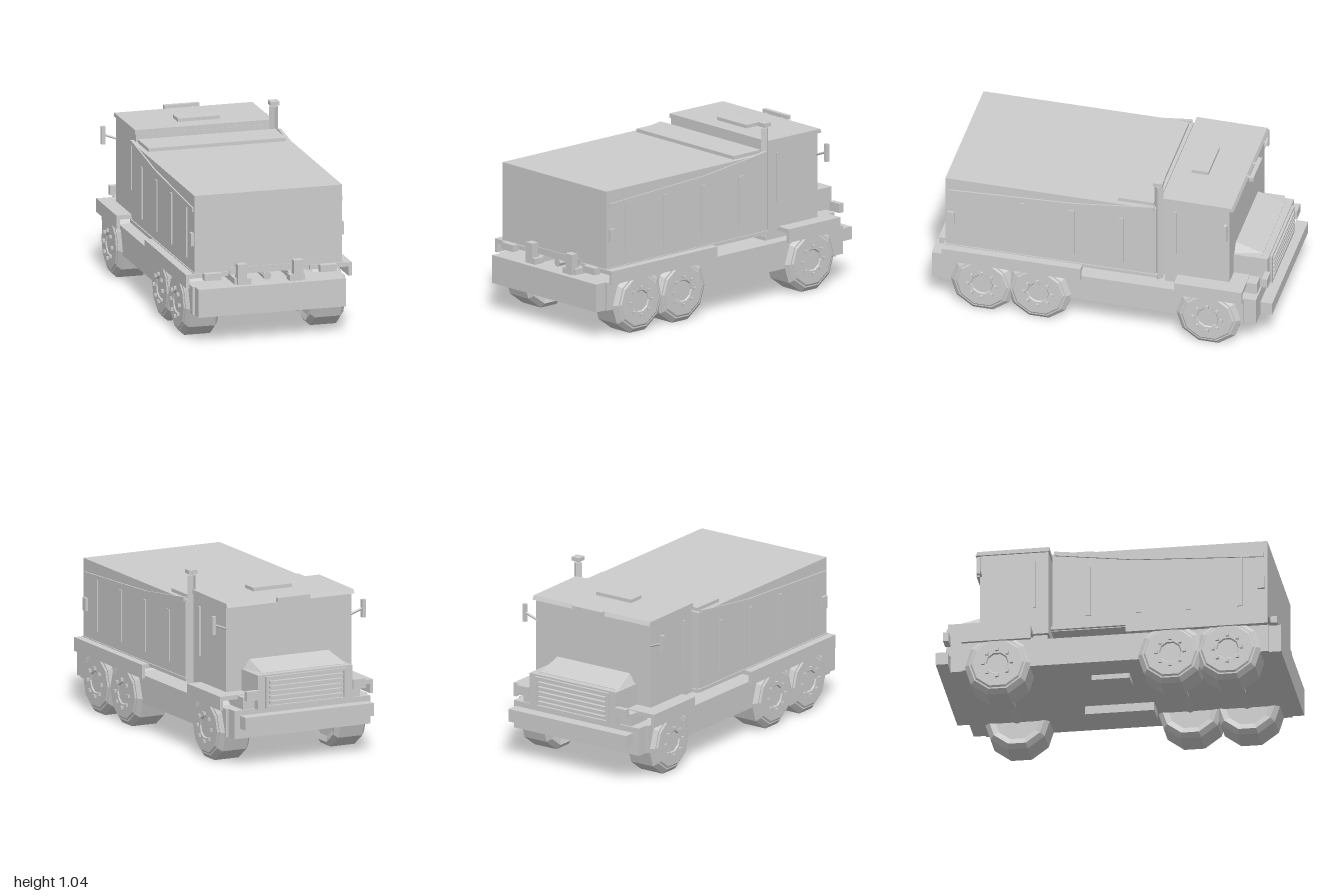
import * as THREE from 'three';

const grey = new THREE.MeshStandardMaterial({ color: 0xcccccc });
grey.name = 'plain grey';

export function createModel() {
  const model = new THREE.Group();
  model.name = 'dumpTruck';

  // Faceted mesh from any geometry
  function add(name, geometry, parent = model) {
    const flat = geometry.index ? geometry.toNonIndexed() : geometry;
    flat.computeVertexNormals();
    const mesh = new THREE.Mesh(flat, grey);
    mesh.name = name;
    parent.add(mesh);
    return mesh;
  }
  // Box from its limits on each axis
  function box(name, x0, x1, y0, y1, z0, z1, parent) {
    const g = new THREE.BoxGeometry(x1 - x0, y1 - y0, z1 - z0);
    g.translate((x0 + x1) / 2, (y0 + y1) / 2, (z0 + z1) / 2);
    return add(name, g, parent);
  }
  // The same box on both sides
  function pair(name, x0, x1, y0, y1, z0, z1) {
    box(name + 'Left', x0, x1, y0, y1, z0, z1);
    box(name + 'Right', -x1, -x0, y0, y1, z0, z1);
  }
  // Side outline of [z, y] points, extruded across x
  function slab(name, points, x0, x1) {
    const shape = new THREE.Shape(points.map(p => new THREE.Vector2(...p)));
    const g = new THREE.ExtrudeGeometry(shape, { depth: x1 - x0, bevelEnabled: false });
    g.rotateY(-Math.PI / 2).translate(x1, 0, 0);
    return add(name, g);
  }
  // Round bar between two points
  function bar(name, a, b, r, sides) {
    const p = new THREE.Vector3(...a), q = new THREE.Vector3(...b);
    const m = add(name, new THREE.CylinderGeometry(r, r, p.distanceTo(q), sides));
    m.position.copy(p).add(q).multiplyScalar(0.5);
    m.quaternion.setFromUnitVectors(new THREE.Vector3(0, 1, 0), q.sub(p).normalize());
  }

  // Chassis, bumpers and underside
  box('chassis', -0.44, 0.44, 0.165, 0.33, -0.91, 1);
  pair('chassisSide', 0.44, 0.455, 0.165, 0.33, -0.84, 0.93);
  box('frontBumper', -0.415, 0.415, 0.23, 0.305, -1, -0.93);
  box('cabFloor', -0.38, 0.38, 0.33, 0.4, -0.9, -0.36);
  pair('subframeRail', 0.13, 0.21, 0.33, 0.365, -0.22, 0.95);
  box('fuelTank', 0.13, 0.26, 0.115, 0.17, -0.22, 0.18);
  box('batteryBox', -0.28, -0.165, 0.135, 0.17, -0.12, 0.1);
  bar('hoistCylinder', [0, 0.355, 0.9], [0, 0.375, -0.1], 0.025, 8);

  // Fenders with outer skirts
  for (const [name, z0, z1] of [['frontFender', -0.84, -0.44], ['rearFender', 0.11, 0.93]]) {
    pair(name, 0.245, 0.495, 0.38, 0.405, z0, z1);
    pair(name + 'Skirt', 0.475, 0.495, 0.325, 0.38, z0, z1);
  }

  // Wheels: ten-sided tyre and rim turned about the axle, with lug nuts
  const profile = [[0, -0.09], [0.13, -0.09], [0.165, -0.1], [0.193, -0.0775], [0.193, 0.0775],
    [0.165, 0.1], [0.156, 0.1], [0.146, 0.107], [0.066, 0.107], [0.06, 0.1], [0, 0.1]]
    .map(p => new THREE.Vector2(...p));
  for (const z of [-0.635, 0.365, 0.695]) {
    for (const side of [1, -1]) {
      const wheel = new THREE.Group();
      wheel.name = 'wheel';
      add('tyreAndRim', new THREE.LatheGeometry(profile, 10), wheel);
      for (let i = 0; i < 8; i++) {
        const a = i * Math.PI / 4, nut = new THREE.BoxGeometry(0.017, 0.02, 0.017);
        nut.translate(0.082 * Math.cos(a), 0.112, 0.082 * Math.sin(a));
        add('lugNut', nut, wheel);
      }
      wheel.rotation.z = -side * Math.PI / 2;
      wheel.position.set(side * 0.375, 0.186, z);
      model.add(wheel);
    }
    bar('axle', [-0.3, 0.186, z], [0.3, 0.186, z], 0.03, 8);
    box('differential', -0.06, 0.06, 0.15, 0.2, z - 0.025, z + 0.025);
  }

  // Dump body with base rails, ribs and sloping ridge
  box('dumpBody', -0.44, 0.44, 0.405, 0.865, -0.32, 0.92);
  box('bodyFloor', -0.43, 0.43, 0.385, 0.405, -0.33, 0.91);
  pair('baseRail', 0.43, 0.447, 0.39, 0.41, -0.33, 0.92);
  box('headboardCap', -0.41, 0.41, 0.865, 0.885, -0.3, -0.09);
  for (const z of [0.76, 0.465, 0.175, -0.115]) pair('bodyRib', 0.44, 0.447, 0.465, 0.77, z - 0.015, z + 0.015);
  pair('sideMarker', 0.44, 0.456, 0.565, 0.64, 0.865, 0.905);
  const ridge = [[0.9, 0.765], [0.9, 0.79], [0.15, 0.825], [-0.31, 0.88], [-0.31, 0.855], [0.15, 0.798]];
  slab('sideRidgeLeft', ridge, 0.43, 0.449);
  slab('sideRidgeRight', ridge, -0.449, -0.43);

  // Tail hinges and lamps
  box('hingeBar', -0.23, 0.23, 0.385, 0.425, 0.9, 0.925);
  pair('hinge', 0.14, 0.195, 0.365, 0.45, 0.91, 0.965);
  pair('hingeFoot', 0.115, 0.195, 0.33, 0.365, 0.9, 0.965);
  pair('tailLamp', 0.295, 0.395, 0.37, 0.41, 0.93, 0.97);

  // Exhaust stack
  bar('exhaustStack', [0.408, 0.37, -0.33], [0.408, 1.01, -0.33], 0.027, 4);
  bar('exhaustTip', [0.408, 1, -0.33], [0.408, 1.03, -0.33], 0.012, 4);
  box('exhaustCap', 0.383, 0.437, 1.02, 1.043, -0.357, -0.303);

  // Cab and roof
  box('cab', -0.405, 0.405, 0.39, 0.9, -0.745, -0.35);
  slab('roof', [[-0.345, 0.902], [-0.77, 0.902], [-0.76, 0.925], [-0.345, 0.928]], -0.412, 0.412);
  box('roofHatch', -0.125, 0.125, 0.925, 0.947, -0.55, -0.45);
  box('roofLightBar', -0.105, 0.105, 0.912, 0.937, -0.81, -0.785);
  pair('lightBarMount', 0.06, 0.075, 0.91, 0.92, -0.79, -0.75);
  pair('doorHandle', 0.4, 0.415, 0.555, 0.845, -0.437, -0.422);
  for (const s of [1, -1]) {
    bar('mirrorArm', [s * 0.4, 0.775, -0.74], [s * 0.48, 0.805, -0.745], 0.007, 6);
  }
  pair('mirror', 0.473, 0.496, 0.75, 0.855, -0.752, -0.732);

  // Hood with a tapered sloping top
  box('hood', -0.305, 0.305, 0.33, 0.53, -0.945, -0.74);
  const top = new THREE.BoxGeometry(0.58, 0.055, 0.165);
  const p = top.attributes.position;
  for (let i = 0; i < p.count; i++) {
    if (p.getY(i) > 0) {
      p.setX(i, p.getX(i) * 0.88);
      if (p.getZ(i) < 0) p.setY(i, -0.025);
    }
  }
  top.translate(0, 0.5575, -0.8225);
  add('hoodTop', top);
  pair('headlight', 0.305, 0.385, 0.39, 0.445, -0.962, -0.93);

  // Grille frame and slats
  box('grilleTop', -0.26, 0.26, 0.505, 0.52, -0.96, -0.945);
  box('grilleBottom', -0.26, 0.26, 0.335, 0.35, -0.96, -0.945);
  pair('grilleSide', 0.245, 0.26, 0.35, 0.505, -0.96, -0.945);
  for (let i = 0; i < 5; i++) {
    const y = 0.37 + i * 0.029;
    box('grilleSlat', -0.235, 0.235, y - 0.007, y + 0.007, -0.967, -0.945);
  }
  return model;
}
